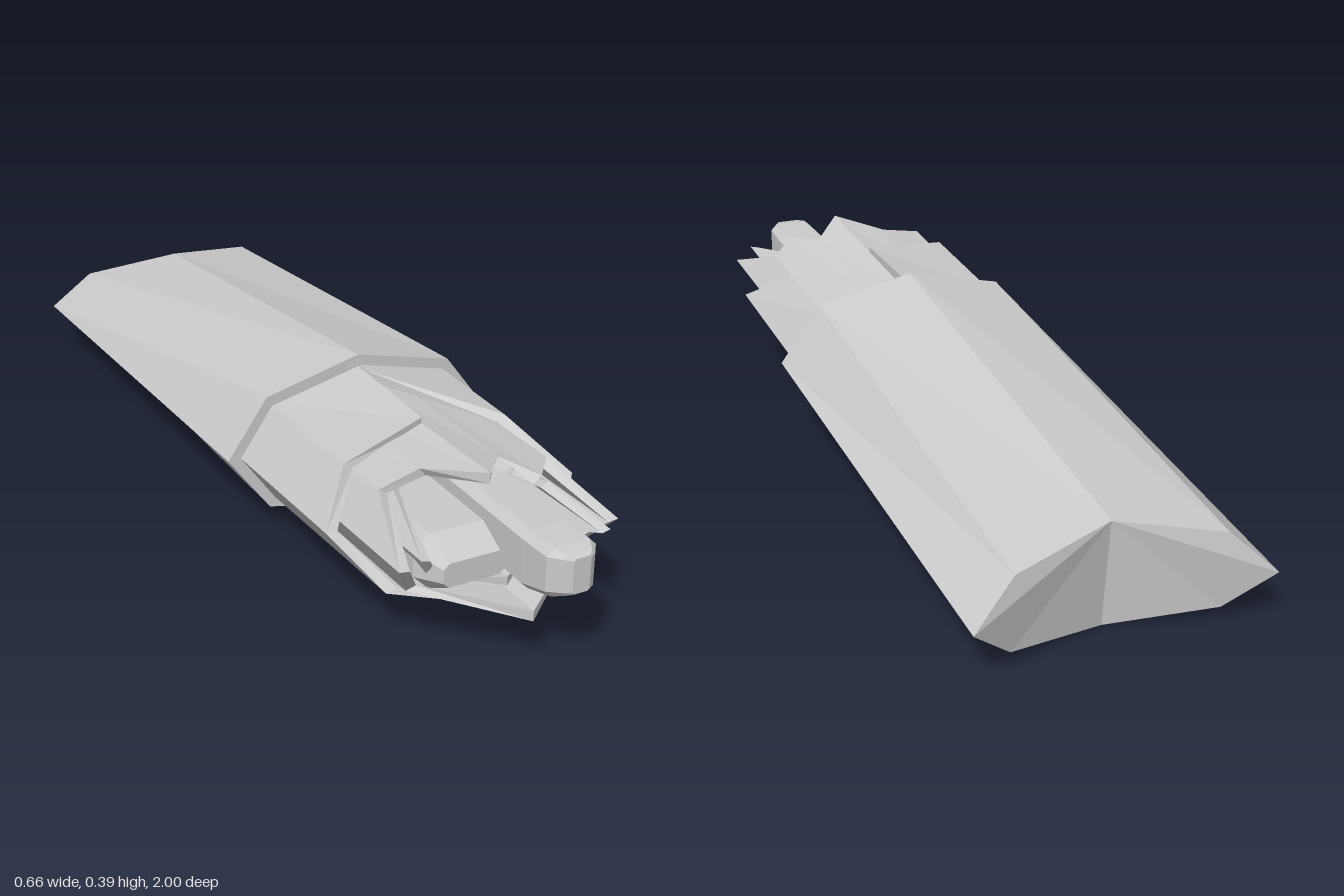
import * as THREE from 'three';

const material = new THREE.MeshStandardMaterial({ color: 0xcccccc, flatShading: true, side: THREE.DoubleSide });

function buildMesh(name, corners) {
  const g = new THREE.BufferGeometry();
  g.setAttribute('position', new THREE.Float32BufferAttribute(corners.flat(), 3));
  g.computeVertexNormals();
  const mesh = new THREE.Mesh(g, material);
  mesh.name = name;
  return mesh;
}

const quad = (out, a, b, c, d) => out.push(a, b, c, a, c, d);

// Closed body lofted through rings that run clockwise as seen from the front, back ring first
function loft(name, rings) {
  const out = [], n = rings[0].length, last = rings[rings.length - 1];
  for (let r = 0; r < rings.length - 1; r++) {
    for (let i = 0; i < n; i++) {
      const j = (i + 1) % n;
      quad(out, rings[r][i], rings[r + 1][i], rings[r + 1][j], rings[r][j]);
    }
  }
  for (let i = 1; i < n - 1; i++) {
    out.push(rings[0][0], rings[0][i], rings[0][i + 1]);
    out.push(last[0], last[i + 1], last[i]);
  }
  return buildMesh(name, out);
}

// Thick wrap with a jagged front; columns are [x, backY, frontY, frontZ]
function wrap(name, columns, zBack, inset) {
  const out = [];
  const inner = ([x, y, z]) => {
    const dx = -x, dy = 0.21 - y, k = inset / Math.hypot(dx, dy);
    return [x + dx * k, y + dy * k, z];
  };
  const cols = columns.map(([x, yb, yf, zf]) => {
    const b = [x, yb, zBack], f = [x, yf, zf];
    return { b, f, ib: inner(b), jf: inner(f) };
  });
  for (let i = 0; i < cols.length - 1; i++) {
    const p = cols[i], q = cols[i + 1];
    quad(out, p.b, p.f, q.f, q.b);
    quad(out, p.ib, q.ib, q.jf, p.jf);
    quad(out, p.f, p.jf, q.jf, q.f);
  }
  const s = cols[0], e = cols[cols.length - 1];
  quad(out, s.b, s.ib, s.jf, s.f);
  quad(out, e.b, e.f, e.jf, e.ib);
  return buildMesh(name, out);
}

// Chamfered box section, clockwise from the front
function section(z, x0, x1, y0, y1, c) {
  return [
    [x0 + c, y1, z], [x1 - c, y1, z], [x1, y1 - c, z], [x1, y0 + c, z],
    [x1 - c, y0, z], [x0 + c, y0, z], [x0, y0 + c, z], [x0, y1 - c, z],
  ];
}

// Mirrors a half ring given from top to bottom
const mirrorRing = (half) => [...half, ...half.slice(1, -1).reverse().map(([x, y, z]) => [-x, y, z])];

export function createModel() {
  const model = new THREE.Group();

  // Outer sleeve with a folded-in back end
  model.add(loft('outerSleeve', [
    mirrorRing([[0, 0.25, -0.905], [0.23, 0.21, -0.965], [0.328, 0.118, -1], [0.23, 0.033, -0.95], [0, 0.003, -0.88]]),
    mirrorRing([[0, 0.39, 0.19], [0.23, 0.335, 0.195], [0.328, 0.2, 0.2], [0.23, 0.065, 0.205], [0, 0.012, 0.21]]),
  ]));

  // Second layer, slit along the top
  model.add(wrap('middleWrap', [
    [0, 0.365, 0.365, 0.22], [0.217, 0.312, 0.315, 0.47], [0.297, 0.2, 0.225, 0.62],
    [0.217, 0.085, 0.125, 0.73], [0, 0.034, 0.077, 0.8], [-0.217, 0.085, 0.125, 0.73],
    [-0.297, 0.2, 0.228, 0.62], [-0.217, 0.312, 0.33, 0.54], [0, 0.362, 0.362, 0.48],
  ], 0.19, 0.025));

  // Third layer with pointed tips
  model.add(wrap('innerWrap', [
    [0, 0.335, 0.363, 0.76], [0.08, 0.32, 0.335, 0.66], [0.13, 0.308, 0.322, 0.75],
    [0.2, 0.29, 0.305, 0.66], [0.255, 0.21, 0.24, 0.85], [0.2, 0.12, 0.155, 0.78],
    [0, 0.085, 0.118, 0.94], [-0.2, 0.12, 0.155, 0.78], [-0.255, 0.21, 0.25, 0.85],
    [-0.2, 0.29, 0.325, 0.66], [-0.1, 0.315, 0.345, 0.65], [0, 0.335, 0.363, 0.76],
  ], 0.19, 0.024));

  // Torn lining inside the third layer
  model.add(wrap('tornLining', [
    [0.09, 0.29, 0.325, 0.7], [0.16, 0.27, 0.29, 0.73], [0.2, 0.22, 0.255, 0.9],
    [0.16, 0.15, 0.18, 0.72], [0, 0.125, 0.145, 0.84], [-0.16, 0.15, 0.18, 0.8],
    [-0.2, 0.22, 0.255, 0.84], [-0.15, 0.28, 0.31, 0.62],
  ], 0.3, 0.02));

  // Stubby cores poking out of the front
  model.add(loft('longCore', [
    section(0.25, 0.005, 0.125, 0.15, 0.28, 0.02),
    section(0.88, 0.005, 0.125, 0.155, 0.29, 0.018),
    section(0.96, 0.008, 0.122, 0.18, 0.29, 0.016),
    section(0.99, 0.03, 0.1, 0.195, 0.285, 0.008),
    section(1.0, 0.045, 0.085, 0.2, 0.28, 0.005),
  ]));
  model.add(loft('shortCore', [
    section(0.25, -0.19, 0, 0.15, 0.27, 0.035),
    section(0.79, -0.19, 0.003, 0.155, 0.28, 0.035),
    section(0.85, -0.155, -0.015, 0.185, 0.24, 0.012),
  ]));
  return model;
}
